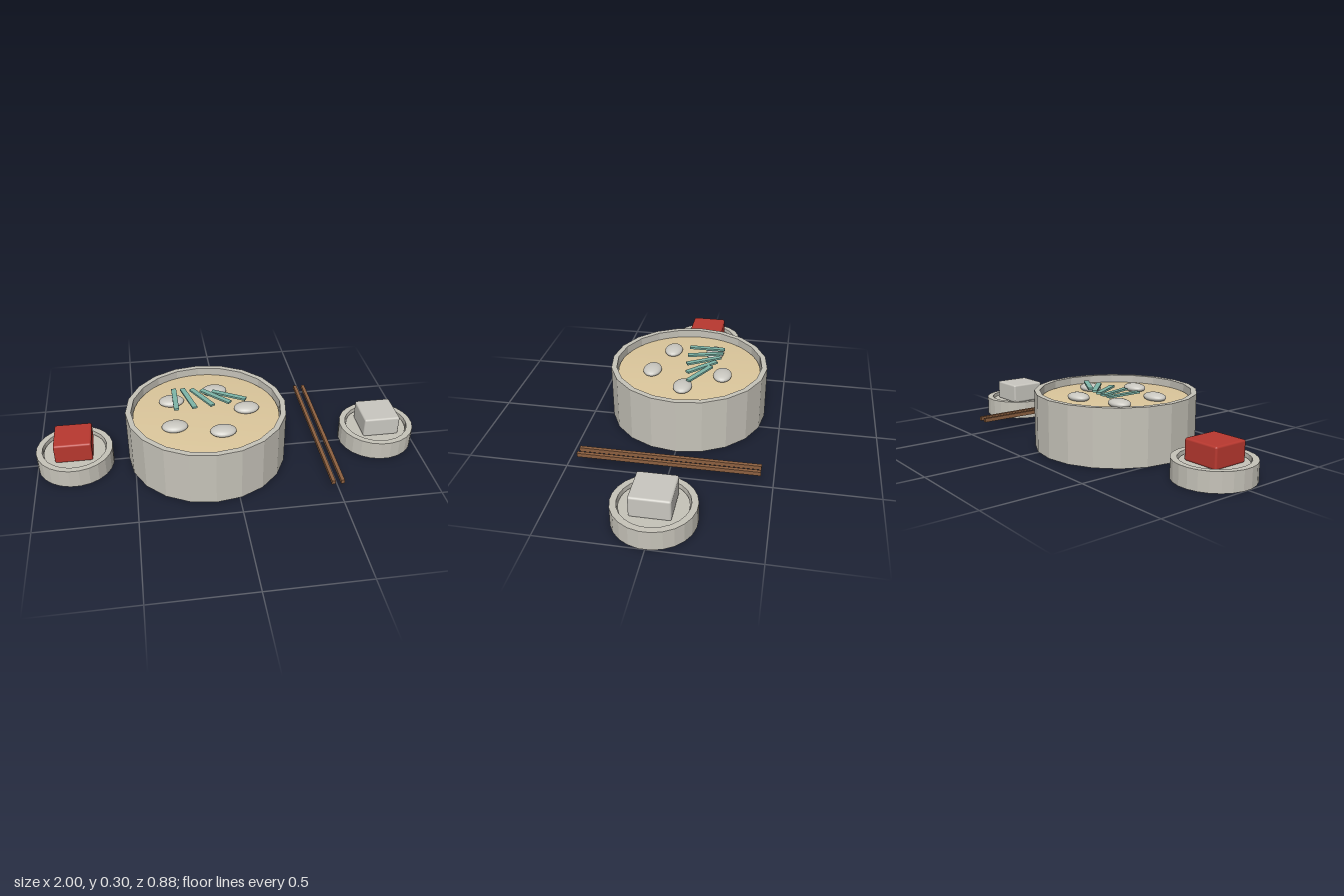
import * as THREE from 'three';
import { mergeVertices } from 'three/addons/utils/BufferGeometryUtils.js';
import { RoundedBoxGeometry } from 'three/addons/geometries/RoundedBoxGeometry.js';

const material = (name, color) => {
  const m = new THREE.MeshStandardMaterial({ color });
  m.name = name;
  return m;
};

export function createModel() {
  const stone = material('stoneware', 0xc6c3b9);
  const pale = material('paleFood', 0xc9c7c0);
  const red = material('redFood', 0xb8382f);
  const broth = material('broth', 0xdcc79c);
  const green = material('greenOnion', 0x7db5a8);
  const wood = material('wood', 0x8c6040);

  const model = new THREE.Group();
  model.name = 'mealSet';

  const add = (parent, name, geometry, mat, x = 0, y = 0, z = 0) => {
    const mesh = new THREE.Mesh(geometry, mat);
    mesh.name = name;
    mesh.position.set(x, y, z);
    parent.add(mesh);
    return mesh;
  };

  const group = (name, x) => {
    const g = new THREE.Group();
    g.name = name;
    g.position.x = x;
    model.add(g);
    return g;
  };

  // Faceted ring wall with an open middle
  const ringWall = (outer, inner, height, sides) => {
    const profile = [[outer, 0], [outer, height], [inner, height], [inner, 0], [outer, 0]]
      .map(([r, y]) => new THREE.Vector2(r, y));
    const g = new THREE.LatheGeometry(profile, sides).toNonIndexed();
    g.computeVertexNormals();
    return g;
  };

  // Disc whose top rolls softly into its side
  const softDisc = (radius, height) => {
    const g = new THREE.CylinderGeometry(radius, radius, height, 48);
    g.deleteAttribute('normal');
    g.deleteAttribute('uv');
    const welded = mergeVertices(g);
    welded.computeVertexNormals();
    return welded;
  };

  // Main bowl with broth
  const bowl = group('bowl', -0.118);
  add(bowl, 'bowlWall', ringWall(0.412, 0.384, 0.288, 20), stone);
  add(bowl, 'bowlBase', new THREE.CylinderGeometry(0.376, 0.376, 0.22, 48), stone, 0, 0.12, 0);
  add(bowl, 'broth', softDisc(0.376, 0.02), broth, 0, 0.24, 0);

  // Five dumplings in a circle
  const dumpling = new THREE.SphereGeometry(1, 24, 16).scale(0.066, 0.023, 0.048);
  for (let i = 0; i < 5; i++) {
    const a = (i * Math.PI * 2) / 5;
    add(bowl, 'dumpling', dumpling, pale, 0.21 * Math.cos(a), 0.263, 0.195 * Math.sin(a));
  }

  // Fan of green strips on top
  const strip = new THREE.BoxGeometry(0.026, 0.01, 0.19);
  for (let i = 0; i < 5; i++) {
    add(bowl, 'greenStrip', strip, green, -0.152 + i * 0.07, 0.298, -0.075)
      .rotation.y = (i * Math.PI) / 12;
  }

  // Side dishes, each with a food cube
  for (const [name, x, mat] of [['rightDish', -0.805, red], ['leftDish', 0.805, pale]]) {
    const dish = group(name, x);
    add(dish, 'dishWall', ringWall(0.196, 0.165, 0.097, 24), stone)
      .rotation.y = Math.PI / 24;
    add(dish, 'dishBase', new THREE.CylinderGeometry(0.158, 0.158, 0.07, 48), stone, 0, 0.045, 0);
    add(dish, 'foodCube', new RoundedBoxGeometry(0.19, 0.105, 0.19, 2, 0.01), mat, 0, 0.131, 0);
  }

  // Chopsticks
  const stick = new THREE.BoxGeometry(0.018, 0.02, 0.88);
  for (const x of [0.456, 0.502]) add(model, 'chopstick', stick, wood, x, 0.079, 0);

  return model;
}
